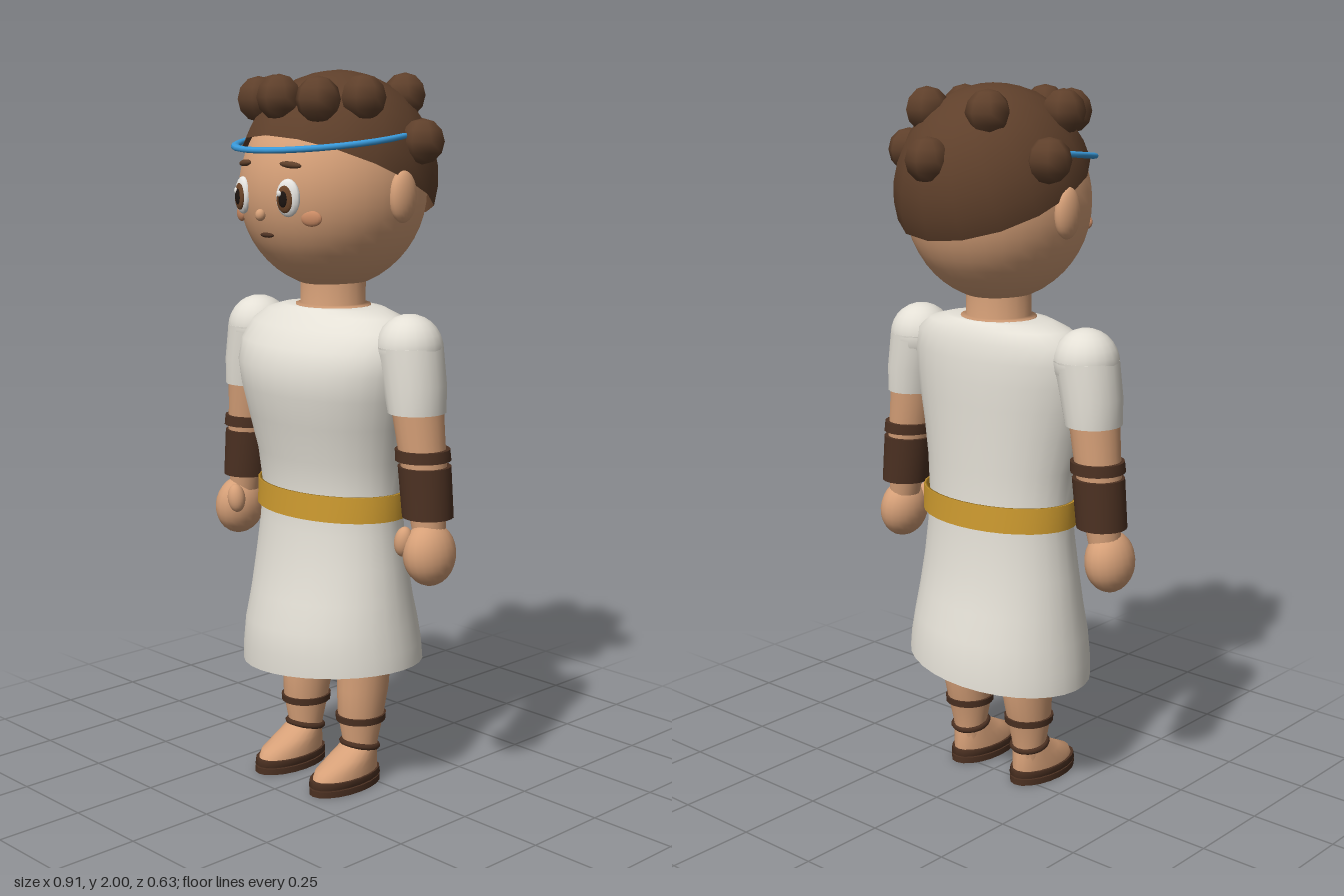
import * as THREE from 'three';

const mat = (name, color, side = THREE.FrontSide) => {
  const m = new THREE.MeshStandardMaterial({ color, side });
  m.name = name;
  return m;
};

// Smooth skin through elliptical rings [y, centreX, centreZ, radiusX, radiusZ], bottom to top.
function loft(rings, caps = true, seg = 20) {
  const flat = (r) => [r[0], r[1], r[2], 0, 0];
  const first = rings[0], last = rings[rings.length - 1];
  const all = caps ? [flat(first), first, ...rings, last, flat(last)] : rings;
  const pos = [], idx = [];
  all.forEach(([y, cx, cz, rx, rz], i) => {
    for (let j = 0; j < seg; j++) {
      const a = (j / seg) * Math.PI * 2;
      pos.push(cx + rx * Math.cos(a), y, cz + rz * Math.sin(a));
      if (i === all.length - 1) continue;
      const k = (j + 1) % seg, p = i * seg, q = p + seg;
      idx.push(p + j, q + j, p + k, q + j, q + k, p + k);
    }
  });
  const g = new THREE.BufferGeometry();
  g.setAttribute('position', new THREE.Float32BufferAttribute(pos, 3));
  g.setIndex(idx);
  g.computeVertexNormals();
  return g;
}

export function createModel() {
  const skin = mat('skin', 0xd6a078);
  const cloth = mat('cloth', 0xe4e0d6, THREE.DoubleSide);
  const gold = mat('gold', 0xcf9c30, THREE.DoubleSide);
  const hair = mat('hair', 0x5f402b, THREE.DoubleSide);
  const leather = mat('leather', 0x4c3122);
  const blue = mat('headbandBlue', 0x3a9bdc);
  const eyeWhite = mat('eyeWhite', 0xf4f2ee);
  const iris = mat('iris', 0x6b4428);
  const dark = mat('dark', 0x1c1410);
  const blush = mat('blush', 0xc98a64);

  const model = new THREE.Group();
  model.name = 'figure';
  const add = (name, geometry, material, x = 0, y = 0, z = 0) => {
    const m = new THREE.Mesh(geometry, material);
    m.name = name;
    m.position.set(x, y, z);
    model.add(m);
    return m;
  };
  const ball = (name, material, x, y, z, rx, ry, rz, w = 20, h = 14) =>
    add(name, new THREE.SphereGeometry(1, w, h).scale(rx, ry, rz), material, x, y, z);

  // Head, neck and ears
  ball('head', skin, 0, 1.68, 0.02, 0.25, 0.27, 0.265, 32, 24);
  add('neck', loft([[1.33, 0, 0.02, 0.12, 0.1], [1.368, 0, 0.02, 0.11, 0.1],
    [1.37, 0, 0.02, 0.092, 0.09], [1.46, 0, 0.02, 0.092, 0.09]]), skin);

  // Face
  const faceZ = (x, y) => 0.02 + 0.265 * Math.sqrt(1 - (x / 0.25) ** 2 - ((y - 1.68) / 0.27) ** 2);
  const onFace = (name, material, x, y, lift, rx, ry, rz) => {
    const m = ball(name, material, x, y, faceZ(x, y) + lift, rx, ry, rz, 16, 10);
    m.rotation.y = x * 3;
    return m;
  };
  for (const s of [1, -1]) {
    ball('ear', skin, s * 0.252, 1.67, 0.005, 0.028, 0.07, 0.045);
    onFace('eyeWhite', eyeWhite, s * 0.09, 1.67, 0, 0.036, 0.05, 0.017);
    onFace('iris', iris, s * 0.09, 1.667, 0.012, 0.025, 0.036, 0.009);
    onFace('pupil', dark, s * 0.09, 1.667, 0.018, 0.014, 0.022, 0.006);
    onFace('eyeGlint', eyeWhite, s * 0.09 - 0.008, 1.682, 0.022, 0.007, 0.008, 0.004);
    onFace('cheek', blush, s * 0.14, 1.617, 0, 0.03, 0.021, 0.01);
    const brow = onFace('eyebrow', hair, s * 0.09, 1.755, 0.002, 0.034, 0.009, 0.009);
    brow.rotation.z = s * -0.08;
  }
  onFace('nose', skin, 0, 1.622, 0.006, 0.014, 0.016, 0.014);
  onFace('mouth', leather, 0, 1.568, 0, 0.026, 0.007, 0.008);

  // Hair cap, tilted so that it reaches down the nape
  const cap = add('hairCap', new THREE.SphereGeometry(1, 16, 8, 0, Math.PI * 2, 0, Math.PI / 2)
    .scale(0.262, 0.285, 0.287), hair, 0, 1.715, 0);
  cap.rotation.x = -0.41;

  // Curls
  const curl = (x, y, z) => {
    const m = ball('curl', hair, x, y, z, 0.061, 0.061, 0.061, 7, 6);
    m.rotation.y = Math.atan2(x, z);
  };
  curl(0, 1.927, 0.215);
  curl(0, 1.812, -0.262);
  for (const s of [1, -1]) {
    curl(s * 0.117, 1.922, 0.185);
    curl(s * 0.176, 1.927, 0.078);
    curl(s * 0.108, 1.932, -0.148);
    curl(s * 0.25, 1.812, -0.07);
  }

  // Headband, dipping at the forehead
  const band = add('headband', new THREE.TorusGeometry(0.26, 0.012, 8, 32).rotateX(Math.PI / 2)
    .scale(0.92, 0.7, 1), blue, 0, 1.82, 0.042);
  band.rotation.x = 0.11;

  // Tunic with a slanted hem
  const tunic = loft([
    [0.345, 0, 0.025, 0.285, 0.23], [0.4, 0, 0.027, 0.281, 0.229], [0.47, 0, 0.03, 0.272, 0.22],
    [0.55, 0, 0.03, 0.262, 0.198], [0.65, 0, 0.03, 0.25, 0.178], [0.75, 0, 0.028, 0.238, 0.166],
    [0.85, 0, 0.028, 0.234, 0.158], [0.95, 0, 0.034, 0.243, 0.164], [1.05, 0, 0.045, 0.265, 0.174],
    [1.13, 0, 0.052, 0.285, 0.182], [1.2, 0, 0.054, 0.298, 0.184], [1.26, 0, 0.045, 0.3, 0.172],
    [1.31, 0, 0.03, 0.283, 0.15], [1.345, 0, 0.02, 0.235, 0.125], [1.362, 0, 0.02, 0.17, 0.11],
    [1.364, 0, 0.02, 0.11, 0.095],
  ], false, 32);
  const p = tunic.attributes.position;
  for (let i = 0; i < p.count; i++) {
    const low = Math.max(0, 1 - (p.getY(i) - 0.345) / 0.4);
    p.setY(i, p.getY(i) + 0.09 * p.getX(i) * low);
  }
  tunic.computeVertexNormals();
  add('tunic', tunic, cloth);

  // Belt: outer wall, top lip, inner wall
  add('belt', loft([[0.79, 0, 0.025, 0.24, 0.165], [0.79, 0, 0.025, 0.25, 0.175],
    [0.79, 0, 0.025, 0.25, 0.175], [0.862, 0, 0.025, 0.248, 0.173], [0.862, 0, 0.025, 0.248, 0.173],
    [0.862, 0, 0.025, 0.24, 0.165], [0.8, 0, 0.025, 0.24, 0.165]], false, 32), gold);

  for (const s of [1, -1]) {
    // Arms
    ball('shoulder', cloth, s * 0.303, 1.272, 0.028, 0.093, 0.093, 0.09);
    add('sleeve', loft([[1.105, s * 0.333, 0.028, 0.076, 0.082], [1.18, s * 0.324, 0.028, 0.084, 0.088],
      [1.28, s * 0.303, 0.028, 0.092, 0.09]]), cloth);
    add('arm', loft([[0.78, s * 0.378, 0.025, 0.045, 0.045], [0.95, s * 0.358, 0.024, 0.062, 0.062],
      [1.03, s * 0.346, 0.026, 0.064, 0.068], [1.12, s * 0.334, 0.028, 0.068, 0.074]]), skin);
    add('bracer', loft([[0.825, s * 0.37, 0.022, 0.07, 0.07], [0.962, s * 0.356, 0.022, 0.072, 0.073]]), leather);
    add('bracerCuff', loft([[0.978, s * 0.353, 0.024, 0.075, 0.077], [1.008, s * 0.35, 0.024, 0.074, 0.076]]), leather);
    const hand = ball('hand', skin, s * 0.39, 0.728, 0.035, 0.064, 0.087, 0.08);
    hand.rotation.z = s * 0.1;
    const thumb = ball('thumb', skin, s * 0.345, 0.762, 0.088, 0.026, 0.042, 0.026);
    thumb.rotation.z = s * -0.15;

    // Legs
    const x = s * 0.115;
    add('leg', loft([[0.07, x, 0.025, 0.047, 0.05], [0.12, x, 0.024, 0.05, 0.05], [0.2, x, 0.022, 0.063, 0.068],
      [0.28, x, 0.014, 0.07, 0.078], [0.38, x, 0.01, 0.077, 0.08], [0.62, x, 0.01, 0.085, 0.085]]), skin);
    add('foot', loft([[0.035, x, 0.085, 0.061, 0.115], [0.06, x, 0.078, 0.06, 0.108],
      [0.085, x, 0.055, 0.056, 0.082], [0.11, x, 0.032, 0.051, 0.056], [0.13, x, 0.024, 0.046, 0.046]]), skin);

    // Sandals: two-layer sole and straps
    add('sole', loft([[0, x, 0.085, 0.067, 0.125], [0.018, x, 0.085, 0.067, 0.125]]), leather);
    add('footbed', loft([[0.018, x, 0.085, 0.061, 0.118], [0.023, x, 0.085, 0.061, 0.118],
      [0.023, x, 0.085, 0.069, 0.125], [0.04, x, 0.085, 0.067, 0.122]]), leather);
    add('calfStrap', loft([[0.185, x, 0.022, 0.069, 0.073], [0.204, x, 0.022, 0.07, 0.075]]), leather);
    const strap = add('ankleStrap', new THREE.TorusGeometry(0.051, 0.009, 6, 20).rotateX(Math.PI / 2), leather, x, 0.112, 0.026);
    strap.rotation.x = -0.2;
  }
  return model;
}
